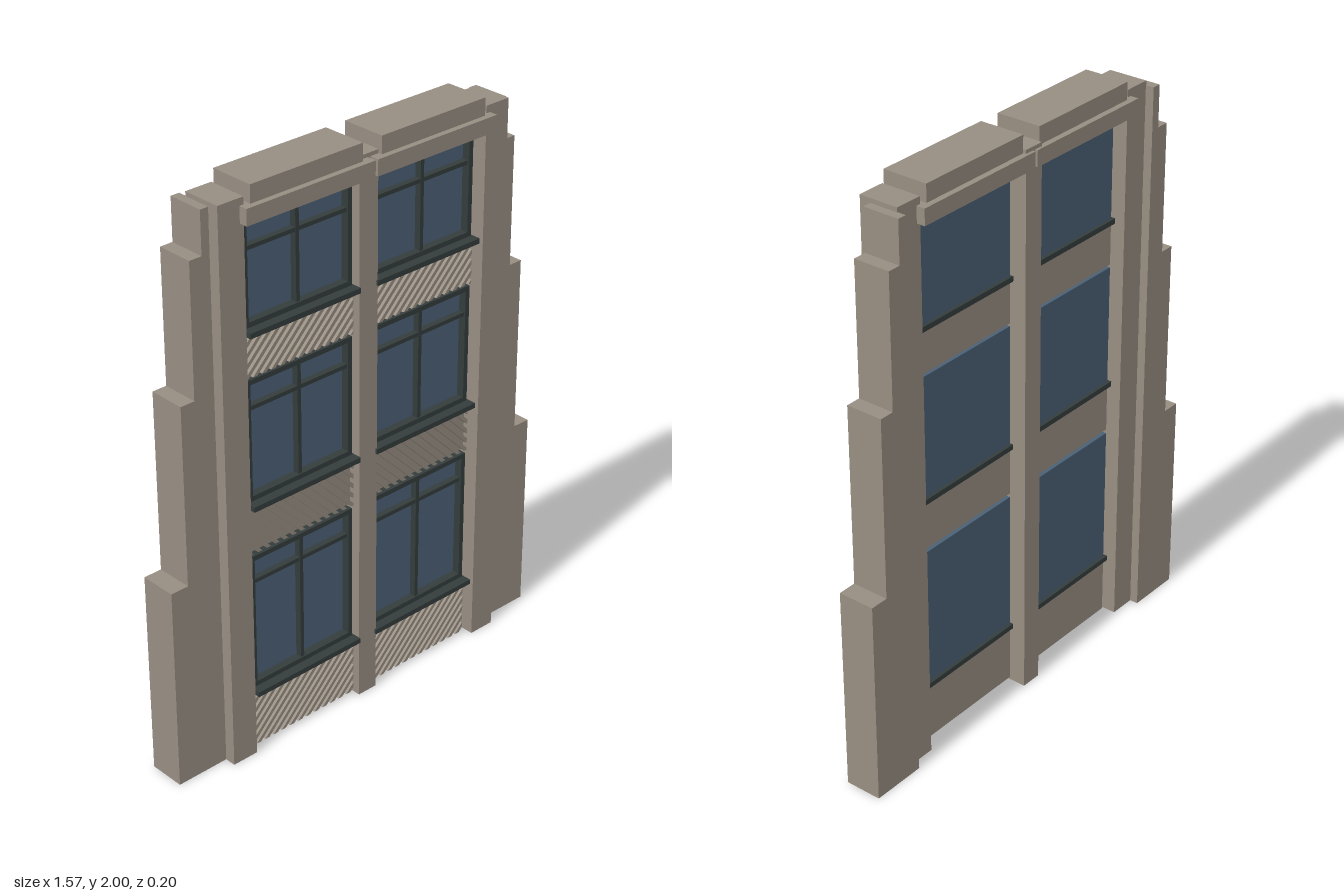
import * as THREE from 'three';

const stone = new THREE.MeshStandardMaterial({ color: 0x988e82 });
stone.name = 'stone';
const metal = new THREE.MeshStandardMaterial({ color: 0x343c3c });
metal.name = 'darkFrame';
const glass = new THREE.MeshStandardMaterial({ color: 0x4b6076 });
glass.name = 'blueGlass';

// Box given by its limits on each axis
function block(parent, name, material, [x0, x1], [y0, y1], [z0, z1]) {
  const mesh = new THREE.Mesh(new THREE.BoxGeometry(x1 - x0, y1 - y0, z1 - z0), material);
  mesh.position.set((x0 + x1) / 2, (y0 + y1) / 2, (z0 + z1) / 2);
  mesh.name = name;
  parent.add(mesh);
}

// Keep the part of a polygon where f(point) >= 0
function clip(points, f) {
  const out = [];
  points.forEach((a, i) => {
    const b = points[(i + 1) % points.length];
    const fa = f(a), fb = f(b);
    if (fa >= 0) out.push(a);
    if (fa * fb < 0) out.push(a.clone().lerp(b, fa / (fa - fb)));
  });
  return out;
}

// Panel with diagonal ribs cut off at its edges; slope is 1 or -1
function spandrel(parent, [x0, x1], [y0, y1], slope) {
  const panel = new THREE.Group();
  panel.name = 'ribbedSpandrel';
  block(panel, 'spandrelBack', stone, [x0, x1], [y0, y1], [-0.03, 0.03]);
  const pitch = 0.036, rib = 0.018;
  const rect = [[x0, y0], [x1, y0], [x1, y1], [x0, y1]].map(p => new THREE.Vector2(...p));
  const across = p => p.x - slope * p.y;
  const values = rect.map(across);
  const end = Math.max(...values);
  const shapes = [];
  for (let c = Math.min(...values) - rib / 2; c < end; c += pitch) {
    const strip = clip(clip(rect, p => across(p) - c), p => c + rib - across(p));
    if (strip.length > 2) shapes.push(new THREE.Shape(strip));
  }
  const ribs = new THREE.Mesh(new THREE.ExtrudeGeometry(shapes, { depth: 0.016, bevelEnabled: false }), stone);
  ribs.position.z = 0.03;
  ribs.name = 'diagonalRibs';
  panel.add(ribs);
  parent.add(panel);
}

// Glazed window with frame, mullion, transom and sill
function windowUnit(parent, [x0, x1], [y0, y1], transomY) {
  const unit = new THREE.Group();
  unit.name = 'window';
  const f = 0.017, z = [0.012, 0.04], m = (x0 + x1) / 2;
  block(unit, 'glassPane', glass, [x0, x1], [y0, y1], [-0.03, 0.012]);
  block(unit, 'frameSide', metal, [x0, x0 + f], [y0, y1], z);
  block(unit, 'frameSide', metal, [x1 - f, x1], [y0, y1], z);
  block(unit, 'frameTop', metal, [x0 + f, x1 - f], [y1 - f, y1], z);
  block(unit, 'frameBottom', metal, [x0 + f, x1 - f], [y0, y0 + f], z);
  block(unit, 'mullion', metal, [m - 0.007, m + 0.007], [y0 + f, y1 - f], [0.012, 0.035]);
  block(unit, 'transom', metal, [x0 + f, x1 - f], [transomY - 0.007, transomY + 0.007], [0.012, 0.034]);
  block(unit, 'sill', metal, [x0 - 0.006, x1 + 0.006], [y0 - 0.018, y0], [-0.042, 0.073]);
  parent.add(unit);
}

export function createModel() {
  const model = new THREE.Group();
  model.name = 'facadeSection';

  // Stepped buttresses and pilasters on both sides
  const steps = [[0.785, 0, 0.725], [0.72, 0.725, 1.35], [0.668, 1.35, 1.805], [0.622, 1.805, 1.95]];
  for (const s of [-1, 1]) {
    const span = (a, b) => (s > 0 ? [a, b] : [-b, -a]);
    for (const [x, y0, y1] of steps) {
      block(model, 'buttressStep', stone, span(0.59, x), [y0, y1], [-0.1, 0.03]);
    }
    block(model, 'pilaster', stone, span(0.495, 0.592), [0, 1.965], [-0.07, 0.07]);
    block(model, 'cornice', stone, span(0.005, 0.51), [1.885, 1.94], [-0.1, 0.1]);
    block(model, 'parapet', stone, span(0.039, 0.478), [1.94, 2], [-0.08, 0.08]);
  }
  block(model, 'centrePier', stone, [-0.038, 0.038], [0, 1.953], [-0.09, 0.066]);

  // Two bays of three storeys: spandrel base, window base, window top, transom
  const storeys = [[0.01, 0.232, 0.724, 0.626], [0.738, 0.925, 1.346, 1.246], [1.356, 1.522, 1.872, 1.777]];
  for (const centre of [-0.261, 0.255]) {
    const bay = new THREE.Group();
    bay.name = 'windowBay';
    bay.position.x = centre;
    storeys.forEach(([base, sill, top, transom], i) => {
      spandrel(bay, [-0.216, 0.216], [base, sill - 0.018], i % 2 ? -1 : 1);
      windowUnit(bay, [-0.216, 0.216], [sill, top], transom);
    });
    model.add(bay);
  }
  return model;
}
